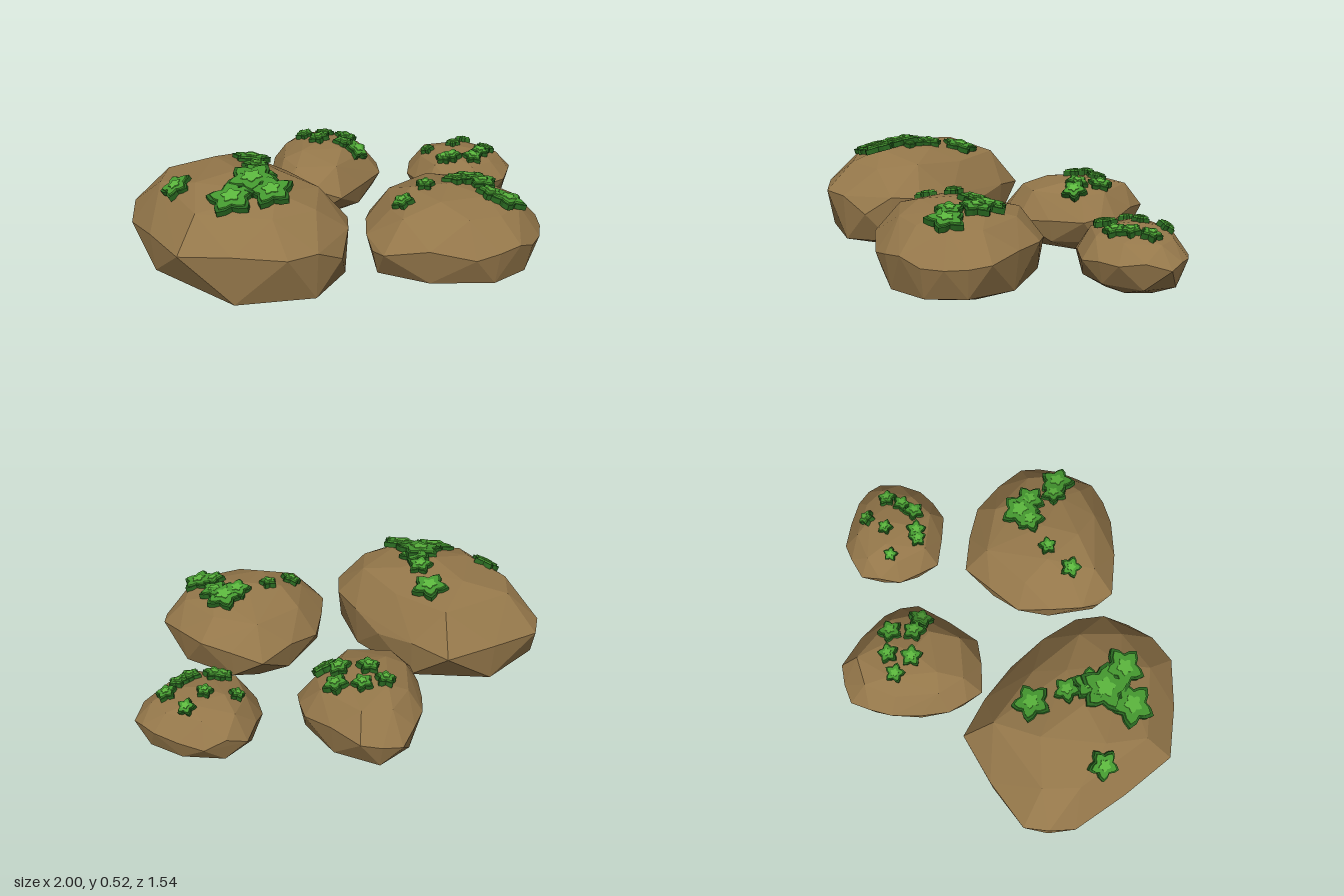
import * as THREE from 'three';
import { ConvexGeometry } from 'three/addons/geometries/ConvexGeometry.js';

const mat = (color) => new THREE.MeshStandardMaterial({ color, flatShading: true, roughness: 1 });
const stone = mat(0x94774a);
const mossDark = mat(0x286620), mossMid = mat(0x459a30), mossLight = mat(0x5cb83e);
const up = new THREE.Vector3(0, 1, 0), down = new THREE.Vector3(0, -1, 0);

// Small seeded generator for facet irregularity
function seeded(seed) {
  return () => {
    seed = (seed * 16807) % 2147483647;
    return seed / 2147483647;
  };
}

// Faceted boulder: flat underside, steep flank, low dome, hulled from rings over the outline
function rockGeometry(outline, [cx, cz], height, low, rand) {
  const points = [];
  const add = (x, z, s, y) =>
    points.push(new THREE.Vector3(cx + (x - cx) * s, y * height, cz + (z - cz) * s));
  outline.forEach(([x, z], i) => {
    // Corners: widest edge, underside and dome
    add(x, z, 1, 0.42 + rand() * 0.16);
    add(x, z, 0.52 + rand() * 0.08, rand() * 0.02);
    add(x, z, 0.7 + rand() * 0.06, 0.8 + rand() * 0.05);
    // Between corners: low flank, shoulder and upper dome
    const [nx, nz] = outline[(i + 1) % outline.length];
    const mx = (x + nx) / 2, mz = (z + nz) / 2;
    add(mx, mz, low, 0.13 + rand() * 0.05);
    add(mx, mz, 1.03, 0.45 + rand() * 0.15);
    if (i % 2) add(mx, mz, 0.45 + rand() * 0.06, 0.93 + rand() * 0.03);
  });
  add(cx, cz, 1, 0);
  add(cx, cz, 1, 1);
  return new ConvexGeometry(points);
}

// Five-lobed leaf pad lying in the xz plane, from y0 up by depth
function padGeometry(radius, y0, depth) {
  const shape = new THREE.Shape();
  const lobes = 5, steps = 20;
  for (let i = 0; i < steps; i++) {
    const a = (i / steps) * Math.PI * 2;
    const r = radius * (0.84 + 0.2 * Math.cos(a * lobes));
    shape[i ? 'lineTo' : 'moveTo'](r * Math.cos(a), r * Math.sin(a));
  }
  const g = new THREE.ExtrudeGeometry(shape, { depth, bevelEnabled: false });
  return g.rotateX(-Math.PI / 2).translate(0, y0, 0);
}

// Stacked pad: dark rim, green body, light heart
function mossPad(radius) {
  const pad = new THREE.Group();
  pad.name = 'mossPad';
  const addLayer = (name, scale, y0, depth, material) => {
    const mesh = new THREE.Mesh(padGeometry(radius * scale, y0, depth), material);
    mesh.name = name;
    pad.add(mesh);
  };
  addLayer('mossRim', 1.04, -0.012, 0.024, mossDark);
  addLayer('mossBody', 0.86, 0.01, 0.01, mossMid);
  addLayer('mossHeart', 0.42, 0.018, 0.006, mossLight);
  return pad;
}

// One rock with its moss; pads grow from the smallest to the largest size in list order
function mossyRock({ name, height, centre, low, seed, outline, padSize: [small, large], pads }) {
  const group = new THREE.Group();
  group.name = name;
  const rand = seeded(seed);
  const rock = new THREE.Mesh(rockGeometry(outline, centre, height, low, rand), stone);
  rock.name = name + 'Stone';
  group.add(rock);

  // Drop each pad onto the stone and tilt it with the facet
  const ray = new THREE.Raycaster();
  pads.forEach(([x, z], i) => {
    ray.set(new THREE.Vector3(x, 2, z), down);
    const hit = ray.intersectObject(rock)[0];
    const normal = hit.face.normal.clone().lerp(up, 0.15).normalize();
    const pad = mossPad(THREE.MathUtils.lerp(small, large, i / (pads.length - 1)));
    pad.position.copy(hit.point).addScaledVector(normal, 0.005);
    pad.quaternion.setFromUnitVectors(up, normal);
    pad.rotateY(rand() * Math.PI * 2);
    group.add(pad);
  });
  return group;
}

export function createModel() {
  const model = new THREE.Group();
  model.name = 'mossyRocks';

  model.add(mossyRock({
    name: 'largeRock', height: 0.49, centre: [-0.56, 0.16], low: 1, seed: 11,
    outline: [[-1, -0.08], [-0.9, -0.29], [-0.41, -0.36], [-0.2, -0.02],
      [-0.13, 0.35], [-0.24, 0.58], [-0.5, 0.66], [-0.9, 0.44]],
    padSize: [0.06, 0.11],
    pads: [[-0.47, 0.12], [-0.82, 0.12], [-0.49, 0.22], [-0.45, -0.04], [-0.48, 0.39], [-0.64, 0.35], [-0.53, 0.27]],
  }));

  model.add(mossyRock({
    name: 'backRock', height: 0.34, centre: [0.03, -0.42], low: 0.94, seed: 23,
    outline: [[-0.02, -0.77], [0.16, -0.74], [0.31, -0.46], [0.29, -0.29],
      [0.01, -0.1], [-0.24, -0.19], [-0.26, -0.37], [-0.17, -0.62]],
    padSize: [0.045, 0.06],
    pads: [[-0.03, -0.53], [0.07, -0.52], [0.01, -0.43], [0.12, -0.37], [0.17, -0.47], [0.17, -0.32]],
  }));

  model.add(mossyRock({
    name: 'smallRock', height: 0.27, centre: [0.71, -0.24], low: 0.92, seed: 37,
    outline: [[0.57, -0.48], [0.76, -0.49], [0.94, -0.34], [1, -0.2],
      [0.87, -0.03], [0.69, 0.02], [0.47, -0.11], [0.46, -0.32]],
    padSize: [0.035, 0.05],
    pads: [[0.57, -0.31], [0.7, -0.28], [0.79, -0.34], [0.59, -0.16], [0.79, -0.16], [0.85, -0.21], [0.63, -0.15], [0.73, -0.12]],
  }));

  model.add(mossyRock({
    name: 'frontRock', height: 0.385, centre: [0.33, 0.4], low: 0.96, seed: 53,
    outline: [[0.37, 0], [0.62, 0.18], [0.74, 0.48], [0.66, 0.65], [0.5, 0.76],
      [0.29, 0.765], [-0.06, 0.59], [-0.07, 0.42], [0.06, 0.14]],
    padSize: [0.042, 0.09],
    pads: [[0.23, 0.37], [0.1, 0.43], [0.47, 0.52], [0.39, 0.36], [0.49, 0.4], [0.53, 0.57], [0.46, 0.34]],
  }));

  return model;
}
